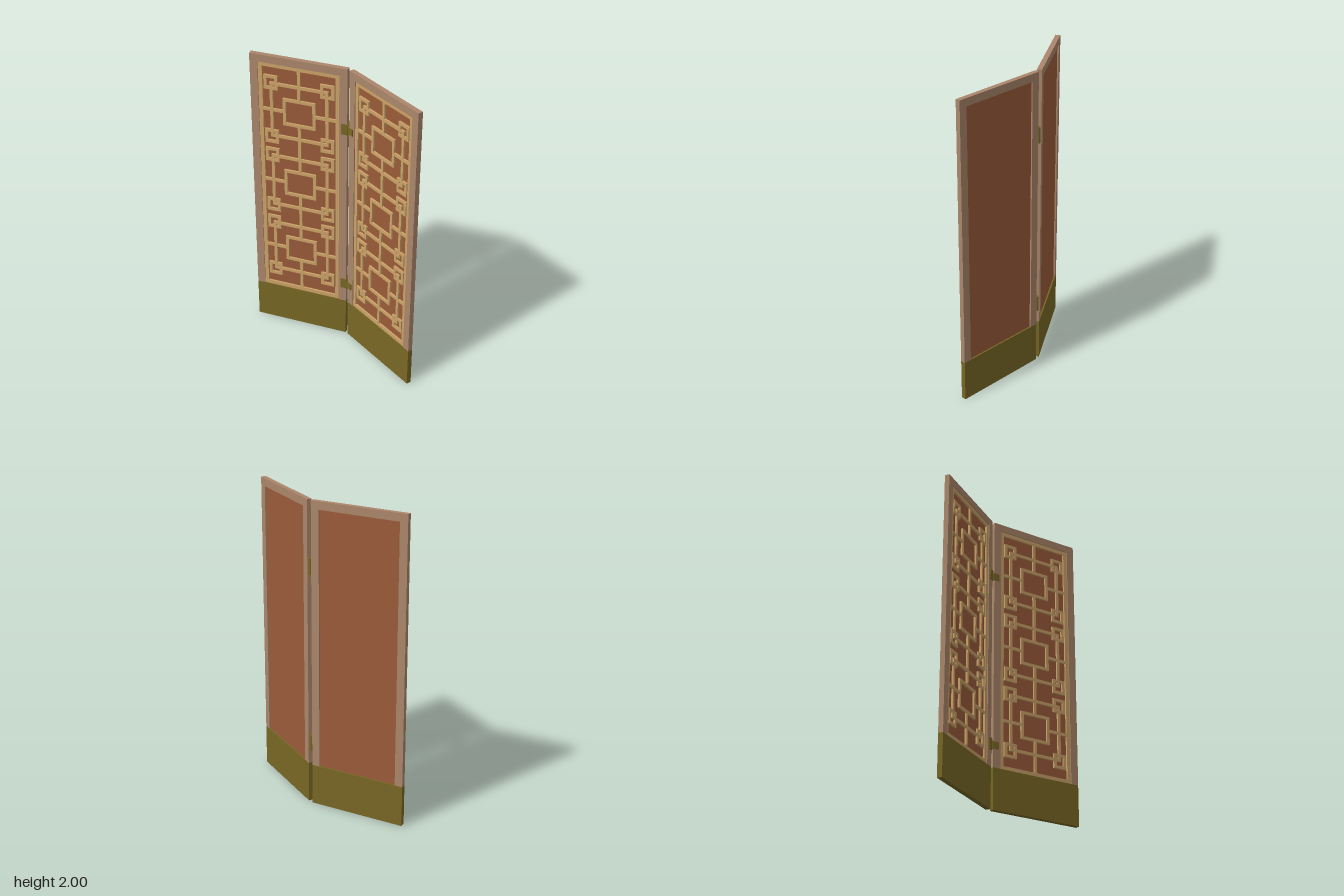
import * as THREE from 'three';

const W = 0.636, H = 2, T = 0.032;      // one leaf of the screen
const KICK = 0.27, STILE = 0.052, RAIL = 0.05;
const BAR = 0.02;                       // lattice strip width
const ANGLE = THREE.MathUtils.degToRad(33);

const mat = (name, color) => {
  const m = new THREE.MeshStandardMaterial({ color });
  m.name = name;
  return m;
};

export function createModel() {
  const wood = mat('frame wood', 0xab866b);
  const board = mat('red brown board', 0x9a5b39);
  const strip = mat('pale lattice wood', 0xcba268);
  const brass = mat('aged brass', 0x786724);

  // box given by its x, y and z limits
  const box = (parent, name, material, x0, x1, y0, y1, z0, z1) => {
    const mesh = new THREE.Mesh(new THREE.BoxGeometry(x1 - x0, y1 - y0, z1 - z0), material);
    mesh.position.set((x0 + x1) / 2, (y0 + y1) / 2, (z0 + z1) / 2);
    mesh.name = name;
    parent.add(mesh);
    return mesh;
  };

  // fretwork in front of the board
  const makeLattice = () => {
    const g = new THREE.Group();
    g.name = 'lattice';
    const z0 = -0.002, z1 = 0.010, cx = W / 2;
    const hBar = (x0, x1, y, w = BAR) => box(g, 'latticeBar', strip, x0, x1, y - w / 2, y + w / 2, z0, z1);
    const vBar = (x, y0, y1, w = BAR) => box(g, 'latticeBar', strip, x - w / 2, x + w / 2, y0, y1, z0, z1);
    // rectangular ring given by centre and outer half sizes
    const ring = (x, y, hw, hh, w = BAR) => {
      for (const s of [-1, 1]) {
        hBar(x - hw, x + hw, y + s * (hh - w / 2), w);
        vBar(x + s * (hw - w / 2), y - hh + w, y + hh - w, w);
      }
    };
    const left = STILE, right = W - STILE, top = H - RAIL;
    ring(cx, (KICK + top) / 2, (right - left) / 2, (top - KICK) / 2, 0.026);

    const centres = [0.598, 1.113, 1.628];
    for (const y of centres) {
      ring(cx, y, 0.108, 0.095);                                   // large centre square
      for (const s of [-1, 1]) {
        hBar(cx - 0.193, cx + 0.193, y + s * 0.183);               // interlaced rectangle
        vBar(cx + s * 0.183, y - 0.193, y + 0.193);
        const a = cx + s * 0.108, b = s < 0 ? left : right;
        hBar(Math.min(a, b), Math.max(a, b), y);                   // side spokes
        for (const t of [-1, 1]) ring(cx + s * 0.186, y + t * 0.190, 0.046, 0.049);
      }
    }
    // centre line, broken at each square
    const stops = [KICK, ...centres.flatMap((y) => [y - 0.095, y + 0.095]), top];
    for (let i = 0; i < stops.length; i += 2) vBar(cx, stops[i], stops[i + 1]);
    return g;
  };

  const makePanel = (name) => {
    const g = new THREE.Group();
    g.name = name;
    const h = T / 2;
    box(g, 'kickPlate', brass, 0, W, 0, KICK, -h, h);
    box(g, 'leftStile', wood, 0, STILE, KICK, H, -h, h);
    box(g, 'rightStile', wood, W - STILE, W, KICK, H, -h, h);
    box(g, 'topRail', wood, STILE, W - STILE, H - RAIL, H, -h, h);
    box(g, 'backBoard', board, STILE, W - STILE, KICK, H - RAIL, -0.006, -0.002);
    g.add(makeLattice());
    return g;
  };

  const model = new THREE.Group();
  model.name = 'foldingScreen';

  const flat = makePanel('straightPanel');
  flat.position.set(-0.603, 0, -0.177);
  const angled = makePanel('angledPanel');
  angled.position.set(0.058, 0, -0.167);
  angled.rotation.y = -ANGLE;
  model.add(flat, angled);

  // hinges: one plate on each panel and a barrel between them
  for (const y of [0.415, 1.59]) {
    box(flat, 'hingePlate', brass, W - 0.037, W + 0.006, y - 0.036, y + 0.036, T / 2, T / 2 + 0.006);
    box(angled, 'hingePlate', brass, -0.006, 0.037, y - 0.023, y + 0.023, T / 2, T / 2 + 0.006);
    const barrel = new THREE.Mesh(new THREE.CylinderGeometry(0.0125, 0.0125, 0.105, 16), brass);
    barrel.position.set(0.046, y, -0.178);
    barrel.name = 'hingeBarrel';
    model.add(barrel);
  }
  return model;
}
